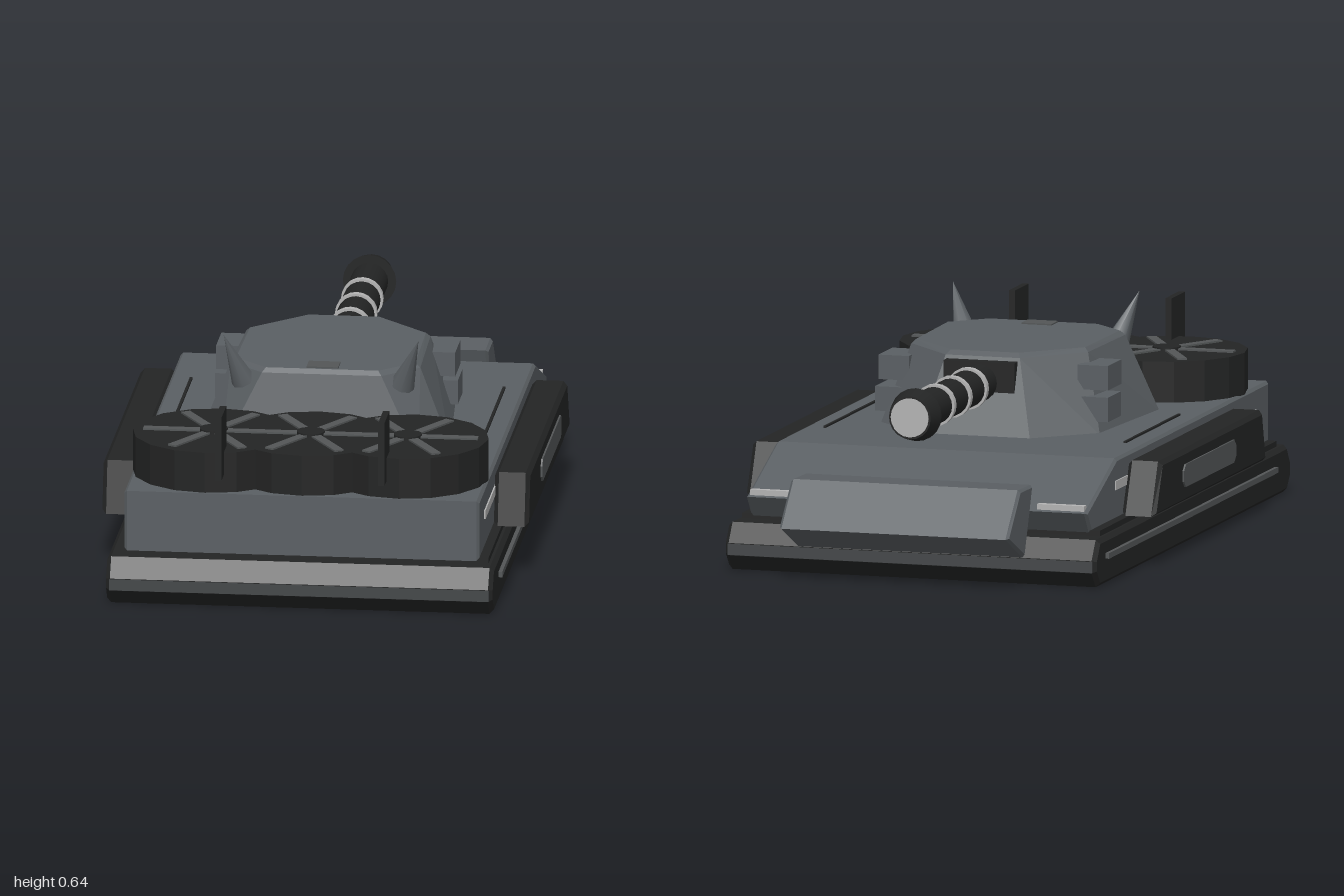
import * as THREE from 'three';
import { ConvexGeometry } from 'three/addons/geometries/ConvexGeometry.js';

const mat = (name, color) => {
  const m = new THREE.MeshStandardMaterial({ color });
  m.name = name;
  return m;
};

// Extrudes a [z, y] side profile across the given width, with bevelled edges
function sideProfile(points, width, bevel) {
  const shape = new THREE.Shape(points.map(([z, y]) => new THREE.Vector2(z, y)));
  const g = new THREE.ExtrudeGeometry(shape, {
    depth: width - 2 * bevel, bevelEnabled: bevel > 0, bevelThickness: bevel,
    bevelSize: bevel, bevelOffset: -bevel, bevelSegments: 1,
  });
  g.translate(0, 0, -(width - 2 * bevel) / 2);
  g.rotateY(-Math.PI / 2);
  return g;
}

// Cylinder pointing along -z from z0 to z1
function tubeZ(r0, r1, z0, z1, sides = 20) {
  const g = new THREE.CylinderGeometry(r1, r0, z0 - z1, sides);
  g.rotateX(-Math.PI / 2);
  g.translate(0, 0, (z0 + z1) / 2);
  return g;
}

export function createModel() {
  const model = new THREE.Group();
  const hullGrey = mat('hull grey', 0x5a5f63);
  const black = mat('dark armour', 0x232424);
  const midGrey = mat('mid grey', 0x535657);
  const trimGrey = mat('trim grey', 0x434648);
  const light = mat('light grey', 0xb4b4b4);

  const add = (name, geometry, material, x = 0, y = 0, z = 0, parent = model) => {
    const mesh = new THREE.Mesh(geometry, material);
    mesh.name = name;
    mesh.position.set(x, y, z);
    parent.add(mesh);
    return mesh;
  };
  const box = (name, w, h, d, material, x, y, z, parent) =>
    add(name, new THREE.BoxGeometry(w, h, d), material, x, y, z, parent);

  // Hover skirt with end bands and side strips
  add('skirt', sideProfile([[0.96, 0.405], [0.998, 0.45], [0.998, 0.485], [0.96, 0.54],
    [-0.805, 0.54], [-0.843, 0.485], [-0.843, 0.45], [-0.805, 0.405]], 1.1, 0.012), black);
  box('frontBand', 1.08, 0.032, 0.008, trimGrey, 0, 0.467, 0.996);
  box('rearBand', 1.08, 0.032, 0.008, trimGrey, 0, 0.467, -0.841);
  box('deckTrim', 1.06, 0.018, 1.66, black, 0, 0.547, 0.09);

  // Hull with sloped nose
  add('hull', sideProfile([[0.93, 0.55], [0.93, 0.725], [-0.5, 0.725],
    [-0.785, 0.61], [-0.74, 0.55]], 1.01, 0.008), hullGrey);

  // Nose ram plate
  add('ramPlate', sideProfile([[-0.79, 0.61], [-0.765, 0.682], [-0.885, 0.685],
    [-1, 0.56], [-0.84, 0.485]], 0.68, 0.008), hullGrey);

  for (const s of [1, -1]) {
    // Skirt strip, hull lights and deck seam
    box('skirtStrip', 0.02, 0.016, 1.59, midGrey, s * 0.551, 0.487, 0.045);
    box('sideLight', 0.008, 0.026, 1.32, light, s * 0.505, 0.65, 0.14);
    box('noseLight', 0.14, 0.016, 0.02, light, s * 0.425, 0.622, -0.766);
    box('deckSeam', 0.008, 0.008, 0.51, black, s * 0.445, 0.726, 0.02);

    // Side pod and its rounded slot
    add('sidePod', sideProfile([[0.585, 0.556], [0.55, 0.705], [-0.4, 0.705],
      [-0.465, 0.556]], 0.1, 0.012), black, s * 0.557);
    const slot = [[0.265, 0.6], [0.283, 0.617], [0.283, 0.648], [0.265, 0.665],
      [-0.19, 0.665], [-0.207, 0.648], [-0.207, 0.617], [-0.19, 0.6]];
    add('podSlot', sideProfile(slot, 0.012, 0), midGrey, s * 0.606);

    // Rear upright plates
    box('tailPlate', 0.018, 0.185, 0.125, black, s * 0.232, 0.868, 0.914);
  }

  // Three lift fans with spoked tops
  for (const x of [-0.276, 0, 0.276]) {
    const fan = new THREE.Group();
    fan.name = 'liftFan';
    fan.position.set(x, 0, 0.695);
    model.add(fan);
    const drum = new THREE.CylinderGeometry(0.23, 0.23, 0.12, 16).toNonIndexed();
    drum.computeVertexNormals();
    add('fanDrum', drum, black, 0, 0.782, 0, fan);
    for (let i = 0; i < 3; i++) {
      box('fanSpoke', 0.4, 0.008, 0.028, midGrey, 0, 0.843, 0, fan).rotation.y = i * Math.PI / 3;
    }
    add('fanHub', new THREE.CylinderGeometry(0.04, 0.04, 0.014, 16), black, 0, 0.844, 0, fan);
  }

  // Faceted turret
  const turretPoints = [];
  const ring = (y, pts) => pts.forEach(([x, z]) => {
    for (const s of [1, -1]) turretPoints.push(new THREE.Vector3(s * x, y, z));
  });
  ring(0.72, [[0.165, -0.24], [0.325, -0.09], [0.36, 0.36], [0.28, 0.47]]);
  ring(0.94, [[0.11, -0.16], [0.262, 0], [0.27, 0.325], [0.17, 0.425]]);
  ring(0.952, [[0.1, -0.14], [0.25, 0.01], [0.255, 0.32], [0.16, 0.412]]);
  add('turret', new ConvexGeometry(turretPoints), hullGrey);
  box('roofHatch', 0.09, 0.008, 0.06, midGrey, 0, 0.952, 0.375);

  // Turret side boxes and horns
  for (const s of [1, -1]) {
    box('upperSideBox', 0.09, 0.07, 0.13, hullGrey, s * 0.295, 0.878, 0.003);
    box('lowerSideBox', 0.08, 0.07, 0.125, hullGrey, s * 0.305, 0.79, -0.015);
    const base = new THREE.Vector3(s * 0.225, 0.905, 0.39);
    const axis = new THREE.Vector3(s * 0.277, 1.05, 0.437).sub(base);
    const cone = new THREE.ConeGeometry(0.036, axis.length(), 8);
    cone.translate(0, axis.length() / 2, 0);
    add('horn', cone, hullGrey, base.x, base.y, base.z)
      .quaternion.setFromUnitVectors(new THREE.Vector3(0, 1, 0), axis.normalize());
  }

  // Cannon: mantlet, barrel, rings and muzzle
  const cannon = new THREE.Group();
  cannon.name = 'cannon';
  cannon.position.y = 0.87;
  model.add(cannon);
  box('mantlet', 0.21, 0.11, 0.06, black, 0, 0.005, -0.165, cannon);
  add('barrel', tubeZ(0.053, 0.053, -0.14, -0.8), black, 0, 0, 0, cannon);
  for (const z of [-0.3, -0.452, -0.605]) {
    add('barrelRing', tubeZ(0.06, 0.06, z + 0.01, z - 0.01), light, 0, 0, 0, cannon);
  }
  add('muzzle', tubeZ(0.076, 0.062, -0.787, -0.845), black, 0, 0, 0, cannon);
  add('muzzleFace', tubeZ(0.056, 0.056, -0.843, -0.848), light, 0, 0, 0, cannon);

  return model;
}
